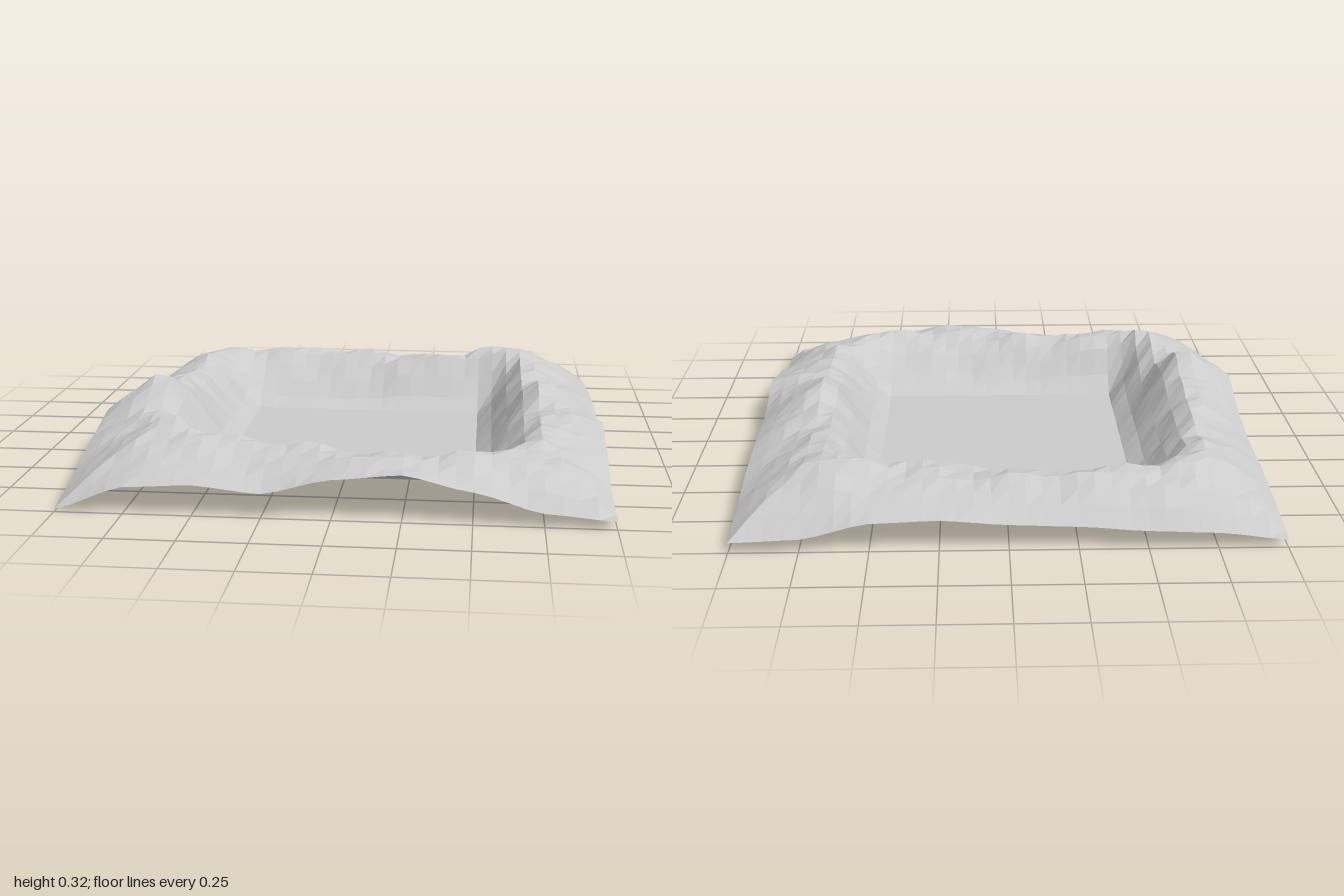
import * as THREE from 'three';

// Rings of values walking round the square: front (x -1 to 1), right (z 1 to -1),
// back (x 1 to -1), left (z -1 to 1); eight stations per side.
// Height of the outer border
const EDGE = [
  0.01, 0.10, 0.115, 0.09, 0.15, 0.175, 0.12, 0.05,
  0.03, 0.045, 0.12, 0.175, 0.11, 0.115, 0.10, 0.07,
  0.04, 0.05, 0.11, 0.12, 0.10, 0.09, 0.07, 0.06,
  0.03, 0.06, 0.08, 0.08, 0.11, 0.18, 0.13, 0.06,
];
// Height of the ridge
const RIM = [
  0.26, 0.24, 0.21, 0.20, 0.20, 0.20, 0.20, 0.20,
  0.20, 0.20, 0.20, 0.22, 0.27, 0.23, 0.21, 0.23,
  0.26, 0.25, 0.22, 0.21, 0.21, 0.21, 0.22, 0.22,
  0.23, 0.23, 0.21, 0.23, 0.26, 0.32, 0.23, 0.24,
];
// Distance of the ridge from the basin floor
const CREST = [
  0.20, 0.20, 0.21, 0.25, 0.30, 0.35, 0.32, 0.30,
  0.28, 0.26, 0.25, 0.25, 0.26, 0.23, 0.21, 0.22,
  0.26, 0.27, 0.22, 0.23, 0.28, 0.31, 0.31, 0.28,
  0.25, 0.25, 0.26, 0.27, 0.27, 0.30, 0.25, 0.20,
];
const FLOOR = 0.5; // half width of the flat basin floor

const smooth = (t) => t * t * (3 - 2 * t);

// Smoothly sample a closed ring of values
function sample(ring, u) {
  const n = ring.length;
  const i = Math.floor(u);
  const a = ring[i % n];
  const b = ring[(i + 1) % n];
  return a + (b - a) * (0.5 * smooth(u - i) + 0.5 * (u - i));
}

// Station (0 to 32) of a point on the border
function station(px, pz) {
  if (pz >= 1 - 1e-6) return (px + 1) * 4;
  if (px >= 1 - 1e-6) return 8 + (1 - pz) * 4;
  if (pz <= -1 + 1e-6) return 16 + (1 - px) * 4;
  return 24 + (pz + 1) * 4;
}

// Distance outside the floor square, which rounds the ridge at the corners
function floorDistance(x, z) {
  return Math.hypot(Math.max(Math.abs(x) - FLOOR, 0), Math.max(Math.abs(z) - FLOOR, 0));
}

function heightAt(x, z) {
  const d = floorDistance(x, z);
  if (d < 1e-4) return 0;
  const s = Math.max(Math.abs(x), Math.abs(z));
  const u = station(x / s, z / s);
  const edge = sample(EDGE, u);
  const rim = sample(RIM, u);
  const crest = sample(CREST, u);
  const bump = 0.008 * (Math.sin(19 * x + 13 * z) + Math.sin(23 * z - 27 * x + 1) + Math.sin(37 * z + 5 * x));
  if (d < crest) {
    const t = d / crest;
    return rim * (0.7 * smooth(t) + 0.3 * Math.sin(t * Math.PI / 2)) + bump * t;
  }
  const t = (d - crest) / (floorDistance(x / s, z / s) - crest);
  return rim + (edge - rim) * (0.6 * t + 0.4 * t * t) + bump * (1 - t);
}

export function createModel() {
  const group = new THREE.Group();
  group.name = 'terrain';

  // Square sheet raised into a rounded ridge around a flat basin
  const geometry = new THREE.PlaneGeometry(2, 2, 32, 32).rotateX(-Math.PI / 2);
  const p = geometry.attributes.position;
  for (let i = 0; i < p.count; i++) p.setY(i, heightAt(p.getX(i), p.getZ(i)));
  geometry.computeVertexNormals();

  const ground = new THREE.Mesh(
    geometry,
    new THREE.MeshStandardMaterial({ color: 0xcccccc, flatShading: true, side: THREE.DoubleSide })
  );
  ground.name = 'craterGround';
  group.add(ground);
  return group;
}
